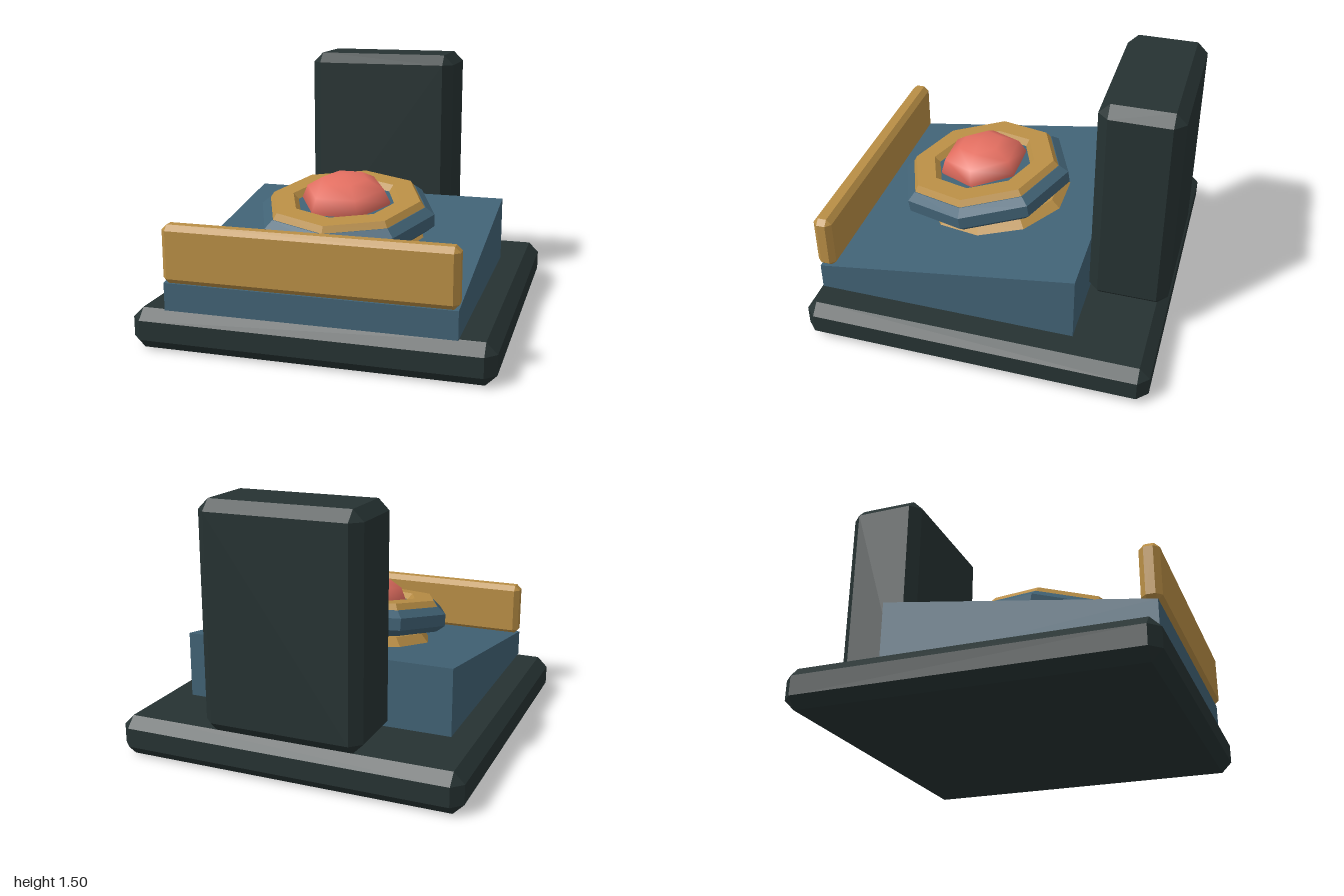
import * as THREE from 'three';
import { ConvexGeometry } from 'three/addons/geometries/ConvexGeometry.js';

const material = (name, color) => {
  const m = new THREE.MeshStandardMaterial({ color });
  m.name = name;
  return m;
};

// Box between two corners with every edge chamfered by c
function chamferBox(min, max, c) {
  const mid = min.map((v, i) => (v + max[i]) / 2);
  const half = min.map((v, i) => (max[i] - v) / 2);
  const points = [];
  for (const sx of [-1, 1]) for (const sy of [-1, 1]) for (const sz of [-1, 1]) {
    for (let axis = 0; axis < 3; axis++) {
      const p = [sx, sy, sz].map((s, i) => mid[i] + s * (half[i] - (i === axis ? 0 : c)));
      points.push(new THREE.Vector3(...p));
    }
  }
  return new ConvexGeometry(points);
}

// Faceted turned part; the profile runs up the outside
function facetedLathe(profile, sides, start = 0) {
  const points = profile.map(([r, y]) => new THREE.Vector2(r, y));
  const g = new THREE.LatheGeometry(points, sides, start).toNonIndexed();
  g.computeVertexNormals();
  return g;
}

export function createModel() {
  const charcoal = material('charcoal', 0x263232);
  const blue = material('slateBlue', 0x416275);
  const gold = material('gold', 0xb98e45);
  const red = material('coralRed', 0xe26e60);

  const model = new THREE.Group();
  model.name = 'buttonConsole';
  const add = (name, geometry, mat, parent = model) => {
    const mesh = new THREE.Mesh(geometry, mat);
    mesh.name = name;
    parent.add(mesh);
    return mesh;
  };

  // Plinth, rear tower and front lip
  add('base', chamferBox([-1, 0, -1], [1, 0.23, 1], 0.06), charcoal);
  add('backTower', chamferBox([-0.46, 0.23, -1], [0.46, 1.5, -0.54], 0.06), charcoal);
  add('frontLip', chamferBox([-0.805, 0.385, 0.87], [0.805, 0.71, 0.98], 0.03), gold);

  // Sloped console: a box whose top corners follow the slope
  const wedge = new THREE.BoxGeometry(1.605, 1, 1.5).translate(0, 0, 0.21);
  const pos = wedge.attributes.position;
  for (let i = 0; i < pos.count; i++) {
    pos.setY(i, pos.getY(i) < 0 ? 0.23 : pos.getZ(i) > 0 ? 0.385 : 0.615);
  }
  wedge.computeVertexNormals();
  add('slopedPanel', wedge, blue);

  // Parts that lie parallel to the slope
  const tilt = Math.atan(0.23 / 1.5);
  const seat = new THREE.Group();
  seat.name = 'buttonSeat';
  seat.position.set(0, 0.513, 0.125);
  seat.rotation.x = tilt;
  model.add(seat);
  add('seatPlate', facetedLathe([[0, 0], [0.44, 0], [0.395, 0.05], [0, 0.05]], 10, Math.PI / 10), gold, seat);

  const button = new THREE.Group();
  button.name = 'button';
  button.position.set(0, 0.64, 0.205);
  button.rotation.x = tilt;
  model.add(button);
  add('buttonDisc', facetedLathe(
    [[0, -0.075], [0.47, -0.075], [0.52, -0.035], [0.52, 0.035], [0.47, 0.075], [0, 0.075]], 8), blue, button);
  add('buttonRing', facetedLathe(
    [[0.29, 0.075], [0.465, 0.075], [0.44, 0.11], [0.32, 0.11], [0.29, 0.075]], 8), gold, button);

  // Flattened dome resting on the disc
  const dome = new THREE.SphereGeometry(0.265, 6, 6).scale(1, 0.585, 1);
  add('buttonDome', dome, red, button).position.y = 0.09;

  return model;
}
